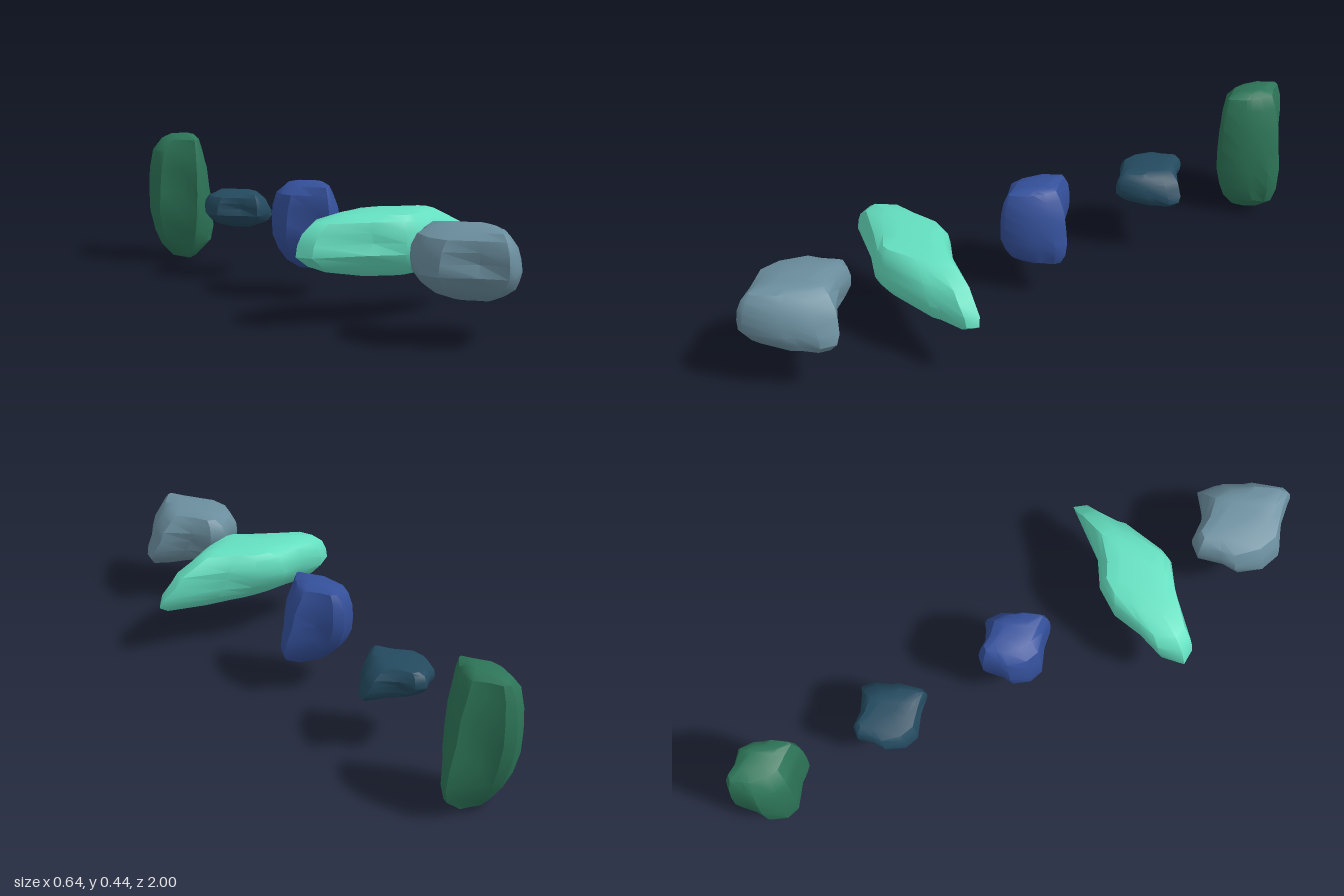
import * as THREE from 'three';
import { toCreasedNormals } from 'three/addons/utils/BufferGeometryUtils.js';

// Plan outline of the rock (x, z), running back -> left -> front -> right
const OUTLINE = [
  [-0.27, -1], [0.06, -0.96], [0.39, -0.65], [1, -0.33], [0.96, 0.06], [0.71, 0.37], [0.63, 0.53],
  [0.06, 0.97], [-0.1, 1], [-0.43, 0.69], [-0.92, 0.29], [-1, -0.1], [-0.84, -0.57], [-0.59, -0.73],
];

// Cross-sections from the bottom up: height, reach to -x, +x, -z, +z
const LEVELS = [
  [0.03, 0.35, 0.45, 0.15, 0.42],
  [0.13, 0.7, 0.9, 0.42, 0.72],
  [0.24, 0.88, 1, 0.65, 0.86],
  [0.39, 1, 0.97, 0.87, 0.98],
  [0.56, 0.98, 0.85, 1, 1],
  [0.72, 0.93, 0.77, 1, 0.97],
  [0.87, 0.81, 0.58, 0.95, 0.89],
  [0.96, 0.5, 0.46, 0.84, 0.78],
  [0.99, 0.2, 0.34, 0.55, 0.45],
];

// Shallow hollows: centre x, height, z, radius, depth
const DENTS = [
  [-0.45, 0.58, 0.68, 0.3, 0.16],
  [0.35, 0.5, -0.6, 0.35, 0.14],
  [-0.4, 0.2, 0.45, 0.3, 0.14],
  [0.75, 0.3, 0.35, 0.28, 0.1],
  [-0.6, 0.45, -0.7, 0.3, 0.06],
];

function dent(p) {
  let pull = 0;
  for (const [x, y, z, radius, depth] of DENTS) {
    const d = Math.hypot(p[0] - x, (p[1] - y) * 2, p[2] - z) / radius;
    pull += depth * Math.exp(-d * d);
  }
  return [p[0] * (1 - pull), p[1], p[2] * (1 - pull)];
}

// Unit rock: x and z in -1..1, y in 0..1
function rockGeometry() {
  const n = OUTLINE.length;
  const points = [];
  const index = [];
  for (const [y, left, right, back, front] of LEVELS) {
    for (const [x, z] of OUTLINE) {
      points.push(...dent([x * (x < 0 ? left : right), y, z * (z < 0 ? back : front)]));
    }
  }
  const bottom = LEVELS.length * n;
  const top = bottom + 1;
  points.push(0.12, 0, 0.14, 0.2, 1, -0.1);

  for (let j = 0; j < n; j++) {
    const k = (j + 1) % n;
    index.push(bottom, j, k);
    for (let i = 0; i < LEVELS.length - 1; i++) {
      const a = i * n + j, b = i * n + k;
      index.push(a, a + n, b + n, a, b + n, b);
    }
    const last = (LEVELS.length - 1) * n;
    index.push(last + j, top, last + k);
  }
  const geometry = new THREE.BufferGeometry();
  geometry.setAttribute('position', new THREE.Float32BufferAttribute(points, 3));
  geometry.setIndex(index);
  return geometry;
}

// One stone, scaled to fill the given bounds
function rock(name, color, [x0, x1], [y0, y1], [z0, z1]) {
  const geometry = rockGeometry();
  geometry.scale((x1 - x0) / 2, y1 - y0, (z1 - z0) / 2);
  geometry.translate((x0 + x1) / 2, y0, (z0 + z1) / 2);
  const mesh = new THREE.Mesh(toCreasedNormals(geometry, 0.6), new THREE.MeshStandardMaterial({ color }));
  mesh.name = name;
  return mesh;
}

export function createModel() {
  const group = new THREE.Group();
  group.name = 'rowOfRocks';
  group.add(
    rock('greyRock', 0x6b8e9e, [-0.175, 0.16], [0.12, 0.325], [0.63, 1]),
    rock('longMintRock', 0x64dfc0, [-0.325, 0.32], [0.13, 0.325], [0.3, 0.545]),
    rock('blueRock', 0x34509a, [-0.13, 0.115], [0.085, 0.36], [-0.145, 0.11]),
    rock('flatNavyRock', 0x244a5f, [-0.13, 0.115], [0.165, 0.285], [-0.585, -0.33]),
    rock('tallGreenRock', 0x2d7558, [-0.13, 0.115], [0, 0.445], [-1, -0.745]),
  );
  return group;
}
